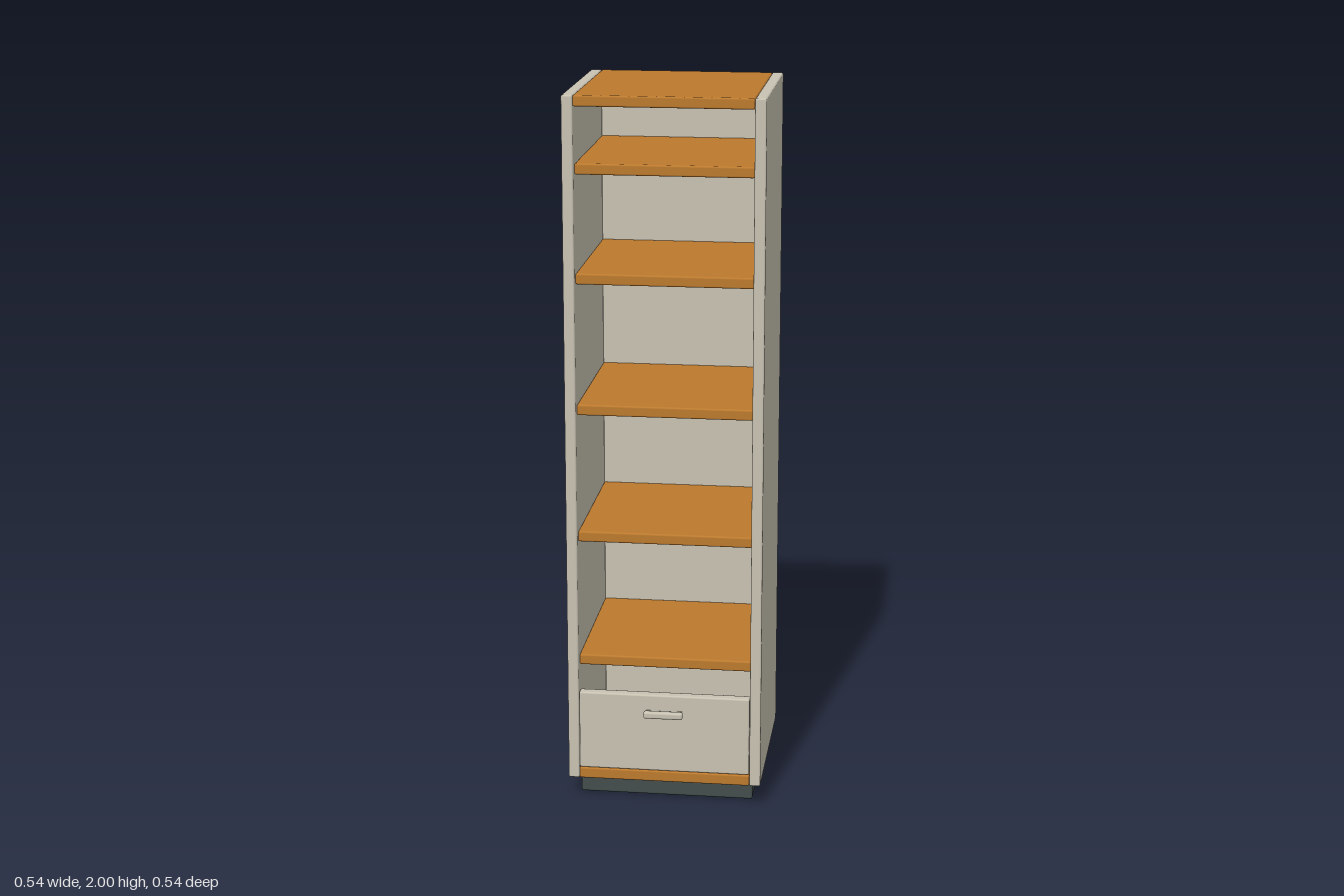
import * as THREE from 'three';
import { RoundedBoxGeometry } from 'three/addons/geometries/RoundedBoxGeometry.js';

const flat = (name, color) => {
  const m = new THREE.MeshStandardMaterial({ color });
  m.name = name;
  return m;
};

export function createModel() {
  const cream = flat('cream laminate', 0xc8c2b2);
  const wood = flat('orange wood', 0xbc7a2e);
  const dark = flat('dark plinth', 0x434e4b);
  const group = new THREE.Group();
  group.name = 'tallCabinet';

  // Softly bevelled board given by its extents on each axis
  const board = (name, material, [x0, x1], [y0, y1], [z0, z1], bevel = 0.005) => {
    const geometry = new RoundedBoxGeometry(x1 - x0, y1 - y0, z1 - z0, 2, bevel);
    const mesh = new THREE.Mesh(geometry, material);
    mesh.name = name;
    mesh.position.set((x0 + x1) / 2, (y0 + y1) / 2, (z0 + z1) / 2);
    group.add(mesh);
  };

  const inner = [-0.241, 0.241];
  const depth = [-0.272, 0.242];

  // Plinth, set back at the front
  board('plinth', dark, [-0.245, 0.245], [0, 0.065], [-0.255, 0.185], 0.006);

  // Side panels
  board('leftSide', cream, [0.241, 0.272], [0.065, 2], depth);
  board('rightSide', cream, [-0.272, -0.241], [0.065, 2], depth);

  // Top and bottom boards run the full depth
  board('bottomBoard', wood, inner, [0.065, 0.097], depth);
  board('topBoard', wood, inner, [1.97, 2], depth);

  // Thin back panel between them
  board('backPanel', cream, inner, [0.097, 1.97], [-0.27, -0.258], 0.002);

  // Shelves, slightly recessed
  [0.43, 0.792, 1.154, 1.518, 1.816].forEach((top, i) =>
    board(`shelf${i + 1}`, wood, inner, [top - 0.03, top], [-0.258, 0.222]));

  // Drawer front with its bar handle
  board('drawerFront', cream, [-0.24, 0.24], [0.098, 0.325], [0.212, 0.242]);
  board('handleBar', cream, [-0.055, 0.055], [0.265, 0.285], [0.253, 0.272], 0.006);
  for (const x of [-0.044, 0.044])
    board('handlePost', cream, [x - 0.007, x + 0.007], [0.269, 0.281], [0.238, 0.256], 0.002);

  return group;
}
